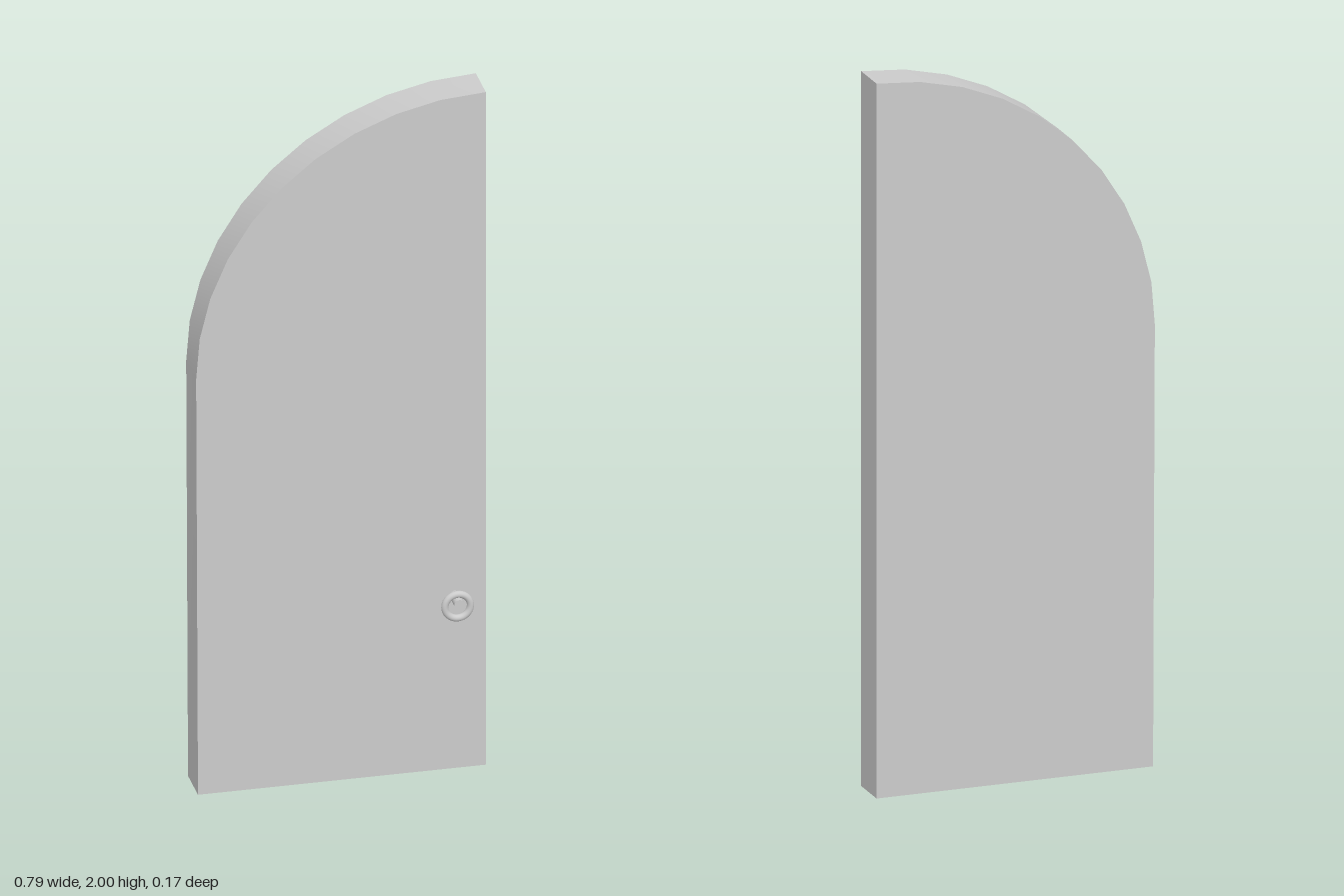
import * as THREE from 'three';
import { toCreasedNormals } from 'three/addons/utils/BufferGeometryUtils.js';

const material = new THREE.MeshStandardMaterial({ color: 0xcccccc });

function addPart(group, name, geometry, x, y, z) {
  const mesh = new THREE.Mesh(geometry, material);
  mesh.name = name;
  mesh.position.set(x, y, z);
  group.add(mesh);
  return mesh;
}

export function createModel() {
  const model = new THREE.Group();
  model.name = 'archedDoorLeaf';

  // Door leaf: straight hinge and latch edges joined by a quarter arch
  const outline = new THREE.Shape();
  const right = 0.395, left = -0.397, spring = 1.235, top = 2;
  outline.moveTo(-0.392, 0);
  outline.lineTo(right, 0);
  outline.lineTo(right, top);
  const steps = 10;
  for (let i = 1; i <= steps; i++) {
    const a = (i / steps) * Math.PI / 2;
    outline.lineTo(
      right - (right - left) * Math.sin(a),
      spring + (top - spring) * Math.cos(a)
    );
  }
  outline.closePath();
  const leaf = new THREE.ExtrudeGeometry(outline, { depth: 0.116, bevelEnabled: false });
  addPart(model, 'doorLeaf', toCreasedNormals(leaf, Math.PI / 6), 0, 0, -0.088);

  // Ring pull hanging from a short peg
  const handle = new THREE.Group();
  handle.name = 'ringPull';
  handle.position.set(0.309, 0.5, 0);
  model.add(handle);

  const peg = new THREE.CylinderGeometry(0.0135, 0.0135, 0.062, 24).rotateX(Math.PI / 2);
  addPart(handle, 'peg', peg, 0, 0.014, 0.056);
  addPart(handle, 'ring', new THREE.TorusGeometry(0.035, 0.0097, 16, 40), 0, 0, 0.066);

  return model;
}
